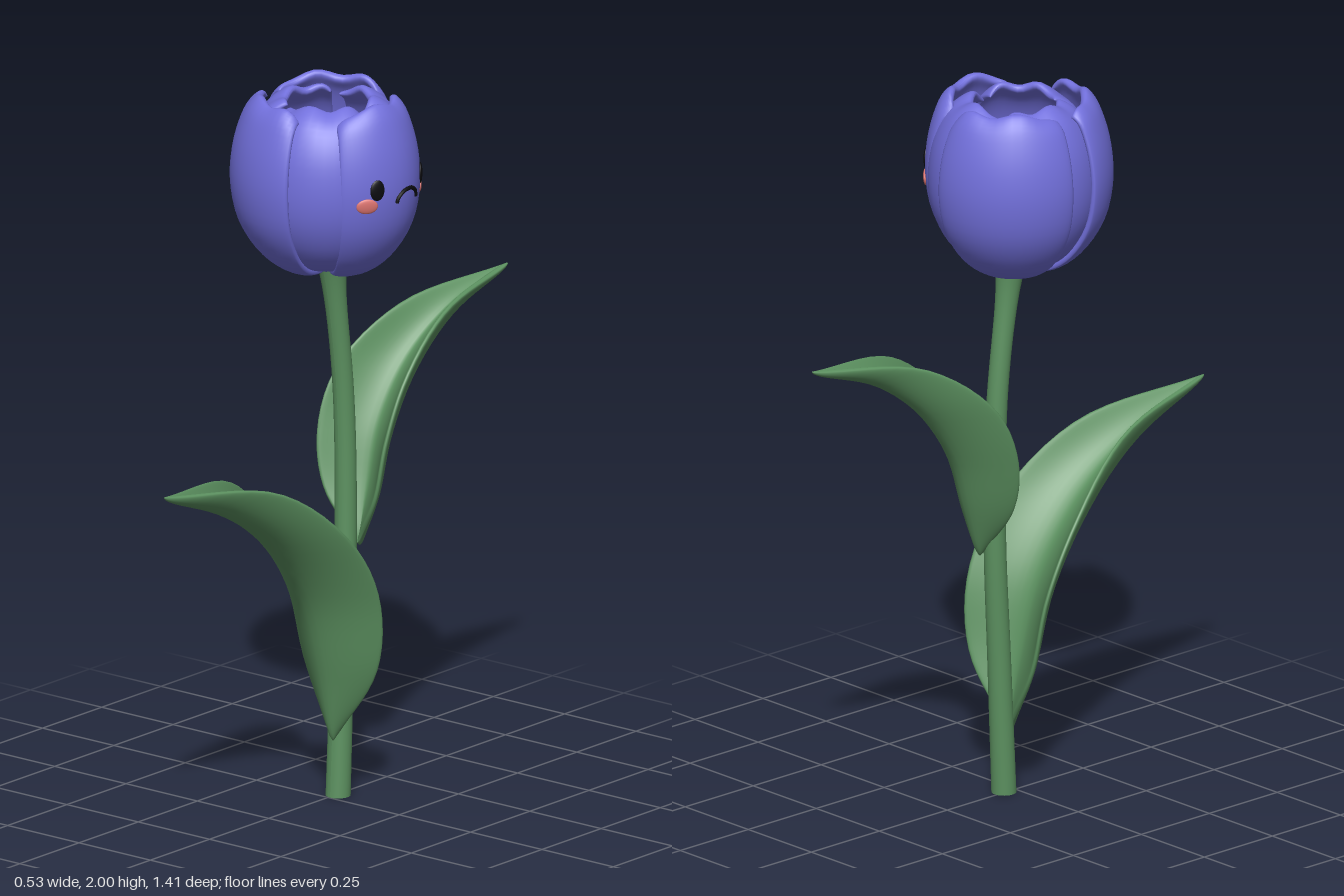
import * as THREE from 'three';

const mat = (color) => new THREE.MeshStandardMaterial({ color, roughness: 0.8 });
const V = (a) => new THREE.Vector3(...a);
const curve = (pts) => new THREE.CatmullRomCurve3(pts.map(V));

// Closed, round-edged shell around a surface mid(u, v), u in -1..1, v in 0..1
function shell(mid, thickness, around = 48, rows = 40) {
  const pos = [], index = [], e = 1e-3;
  for (let j = 0; j <= rows; j++) {
    const v = (1 - Math.cos((Math.PI * j) / rows)) / 2;
    const taper = Math.sqrt(Math.max(0, 1 - Math.abs(2 * v - 1) ** 16));
    for (let i = 0; i < around; i++) {
      const a = (i / around) * Math.PI * 2, u = Math.cos(a), s = Math.sin(a);
      const du = mid(u + e, v).sub(mid(u - e, v));
      const dv = mid(u, Math.min(1, v + e)).sub(mid(u, Math.max(0, v - e)));
      const n = du.cross(dv).normalize();
      const p = mid(u, v).addScaledVector(n, thickness * taper * Math.sign(s) * Math.sqrt(Math.abs(s)));
      pos.push(p.x, p.y, p.z);
      if (j < rows) {
        const b = j * around + i, c = j * around + ((i + 1) % around);
        index.push(b, b + around, c, c, b + around, c + around);
      }
    }
  }
  const g = new THREE.BufferGeometry();
  g.setAttribute('position', new THREE.Float32BufferAttribute(pos, 3));
  g.setIndex(index);
  g.computeVertexNormals();
  return g;
}

// Channelled leaf: spine points are [x, y, z], rim points are [half width, y, z]
function leafGeometry(spinePts, rimPts) {
  const spine = curve(spinePts), rim = curve(rimPts);
  return shell((u, v) => {
    const c = spine.getPoint(v), r = rim.getPoint(v), k = Math.abs(u) ** 1.6;
    return new THREE.Vector3(c.x + u * r.x, c.y + (r.y - c.y) * k, c.z + (r.z - c.z) * k);
  }, 0.011);
}

// Cupped petal bent around the flower's axis; fold pulls its sides inwards
function petalGeometry({ profile, angle, half, fold, drop, phase }) {
  const line = new THREE.SplineCurve(profile.map(([r, y]) => new THREE.Vector2(r, y)));
  return shell((u, v) => {
    const p = line.getPoint(v);
    const r = p.x * (1 - fold * (Math.hypot(u, 0.2) - 0.2));
    const a = THREE.MathUtils.degToRad(angle + half * u);
    const y = p.y - (drop * Math.abs(u) ** 5 - 0.009 * Math.sin(7 * u + phase)) * v ** 5;
    return new THREE.Vector3(r * Math.cos(a), y, r * Math.sin(a));
  }, 0.015);
}

export function createModel() {
  const model = new THREE.Group();
  model.name = 'tulip';
  const green = mat(0x5c9160), purple = mat(0x7270dc), black = mat(0x0c0c10), pink = mat(0xdd7470);
  const add = (name, geometry, material, parent = model) => {
    const m = new THREE.Mesh(geometry, material);
    m.name = name;
    parent.add(m);
    return m;
  };

  // Stem: a cylinder bent along a curve, flaring under the flower
  const path = curve([[0.006, 0, -0.036], [0.004, 0.38, -0.055], [0, 0.76, -0.075],
    [-0.004, 1.13, -0.07], [-0.008, 1.51, -0.025]]);
  const stem = new THREE.CylinderGeometry(1, 1, 1.51, 28, 40).translate(0, 0.755, 0);
  const sp = stem.attributes.position;
  for (let i = 0; i < sp.count; i++) {
    const t = sp.getY(i) / 1.51, c = path.getPoint(Math.min(1, Math.max(0, t)));
    const r = 0.034 - 0.007 * t + 0.016 * t ** 20;
    sp.setXYZ(i, c.x + sp.getX(i) * r, sp.getY(i), c.z + sp.getZ(i) * r);
  }
  stem.computeVertexNormals();
  add('stem', stem, green);

  // Leaves
  add('frontLeaf', leafGeometry(
    [[0.01, 0.16, -0.01], [0.01, 0.38, 0.04], [0.01, 0.59, 0.11], [0.01, 0.77, 0.25],
      [0.012, 0.91, 0.45], [0.012, 1.012, 0.705]],
    [[0, 0.17, -0.02], [0.125, 0.37, -0.045], [0.157, 0.58, -0.02], [0.15, 0.77, 0.09],
      [0.092, 0.95, 0.32], [0, 1.015, 0.705]]), green);
  add('backLeaf', leafGeometry(
    [[0.02, 0.69, -0.11], [0.01, 0.84, -0.165], [0.0, 1.0, -0.225], [0.005, 1.15, -0.33],
      [0.025, 1.27, -0.48], [0.045, 1.35, -0.705]],
    [[0, 0.7, -0.1], [0.09, 0.84, -0.078], [0.12, 1.0, -0.1], [0.118, 1.16, -0.18],
      [0.075, 1.3, -0.37], [0, 1.352, -0.705]]), green);

  // Flower: three inner petals closing inwards, three outer petals around them
  const flower = new THREE.Group();
  flower.name = 'flower';
  model.add(flower);
  const outer = [[0.02, 1.495], [0.11, 1.513], [0.18, 1.565], [0.232, 1.65], [0.251, 1.75],
    [0.243, 1.85], [0.215, 1.94], [0.182, 1.985]];
  const inner = [[0.02, 1.51], [0.1, 1.53], [0.165, 1.58], [0.208, 1.66], [0.222, 1.75],
    [0.21, 1.85], [0.172, 1.93], [0.115, 1.972]];
  [60, 180, 300].forEach((angle, i) => add('innerPetal', petalGeometry(
    { profile: inner, angle, half: 54, fold: 0.04, drop: 0.02, phase: i * 2 }), purple, flower));
  [[121, 45, 0.01, 1], [231, 47, 0.02, 3]].forEach(([angle, half, fold, phase]) =>
    add('outerPetal', petalGeometry(
      { profile: outer, angle, half, fold, drop: 0.04, phase }), purple, flower));
  const facePetal = add('facePetal', petalGeometry(
    { profile: outer, angle: -4, half: 46, fold: 0.12, drop: 0.06, phase: 0 }), purple, flower);

  // Face, laid onto the petal on the +x side
  const face = new THREE.Group();
  face.name = 'face';
  flower.add(face);
  const onPetal = (y, z) => new THREE.Raycaster(new THREE.Vector3(1, y, z), new THREE.Vector3(-1, 0, 0))
    .intersectObject(facePetal)[0];
  const spot = (name, y, z, w, h, material) => {
    const hit = onPetal(y, z);
    const m = add(name, new THREE.SphereGeometry(1, 24, 16), material, face);
    m.scale.set(w, h, 0.006);
    m.position.copy(hit.point);
    m.lookAt(hit.point.clone().add(hit.face.normal));
  };
  for (const side of [1, -1]) {
    spot('eye', 1.778, -0.02 + side * 0.102, 0.021, 0.029, black);
    spot('cheek', 1.735, -0.02 + side * 0.126, 0.03, 0.021, pink);
  }
  const arch = [];
  for (let i = 0; i <= 10; i++) {
    const a = (i / 10) * Math.PI;
    arch.push(onPetal(1.733 + 0.033 * Math.sin(a), -0.02 + 0.043 * Math.cos(a)).point);
  }
  add('mouth', new THREE.TubeGeometry(new THREE.CatmullRomCurve3(arch), 30, 0.006, 8), black, face);

  return model;
}
